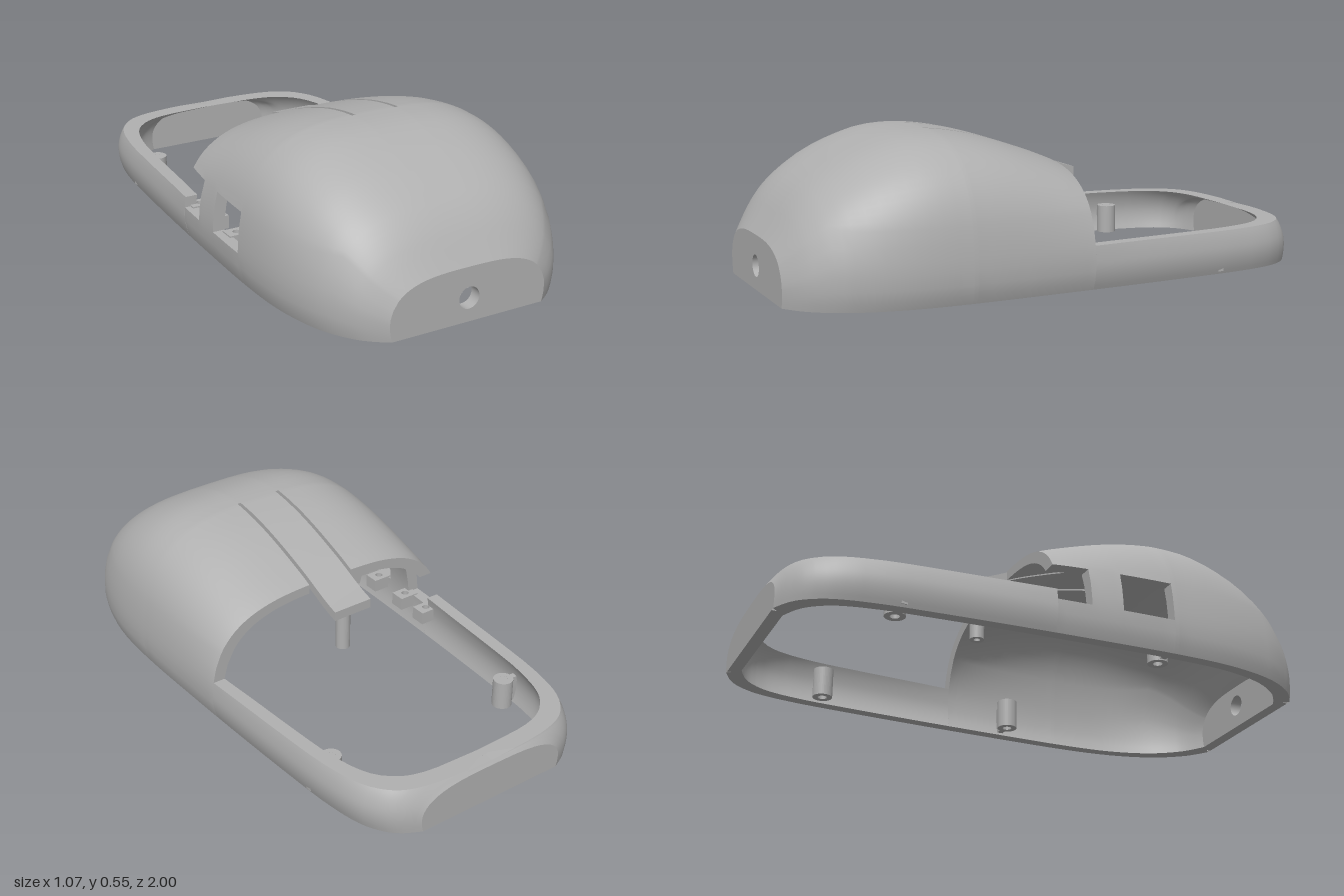
import * as THREE from 'three';

const N = 3.2;            // squareness of the cross-section
const SIDE = 0.045, TOP = 0.036;   // wall thickness
const RIM = 0.16;         // height of the low rear wall
const STEP = -0.07;       // where the hump begins

// smooth interpolation through [z, value] pairs
function curve(pts) {
  const slope = i => {
    const a = pts[Math.max(0, i - 1)], b = pts[Math.min(pts.length - 1, i + 1)];
    return (b[1] - a[1]) / (b[0] - a[0]);
  };
  return z => {
    let i = 0;
    while (i < pts.length - 2 && z > pts[i + 1][0]) i++;
    const [z0, a] = pts[i], [z1, b] = pts[i + 1], d = z1 - z0, t = (z - z0) / d;
    const t2 = t * t, t3 = t2 * t;
    return (2 * t3 - 3 * t2 + 1) * a + (t3 - 2 * t2 + t) * d * slope(i)
      + (3 * t2 - 2 * t3) * b + (t3 - t2) * d * slope(i + 1);
  };
}
const halfWidth = curve([[-1, 0.31], [-0.97, 0.37], [-0.93, 0.415], [-0.85, 0.46], [-0.7, 0.49], [-0.5, 0.505],
  [-0.2, 0.52], [0.1, 0.53], [0.4, 0.535], [0.6, 0.525], [0.75, 0.495], [0.85, 0.455], [0.93, 0.4], [0.97, 0.355], [1, 0.31]]);
const height = curve([[-1, 0.145], [-0.95, 0.21], [-0.9, 0.245], [-0.8, 0.285], [-0.6, 0.325], [-0.4, 0.345], [-0.2, 0.372],
  [0, 0.45], [0.2, 0.515], [0.35, 0.545], [0.45, 0.55], [0.55, 0.538], [0.7, 0.485], [0.8, 0.428], [0.9, 0.345], [1, 0.2]]);

// size of the outer or inner section at z
function sizes(z, inner) {
  let w = halfWidth(z), h = height(z), zz = z;
  if (inner) {
    w -= SIDE;
    h -= TOP;
    const a = Math.abs(z);
    if (a > 0.6) zz = Math.sign(z) * (0.6 + (a - 0.6) * 0.8875);
  }
  return { w, h, z: zz };
}
const xAt = (y, w, h) => w * Math.pow(Math.max(0, 1 - Math.pow(Math.min(1, y / h), N)), 1 / N);
const foot = (x, y) => x * (1 - 0.04 * Math.pow(Math.max(0, 1 - y / 0.1), 2));
const mirrorX = p => new THREE.Vector3(-p.x, p.y, p.z);

// hump section: level lines on the sides, then an arc, then the tongue edges
function humpSection(zIn, inner) {
  const { w, h, z } = sizes(zIn, inner), half = [];
  const s = Math.min(1, h * 0.7 / 0.27);
  const levels = [0, 0.03, 0.07, 0.12, 0.16, 0.215, 0.27].map(y => y * s);
  for (const y of levels) half.push(new THREE.Vector3(foot(xAt(y, w, h), y), y, z));
  const t0 = Math.asin(Math.pow(levels[6] / h, N / 2)), t1 = Math.acos(Math.pow(0.094 / w, N / 2));
  for (let i = 1; i <= 14; i++) {
    const t = t0 + (t1 - t0) * i / 14;
    half.push(new THREE.Vector3(w * Math.pow(Math.cos(t), 2 / N), h * Math.pow(Math.sin(t), 2 / N), z));
  }
  for (const x of [0.08, 0.04]) half.push(new THREE.Vector3(x, h * Math.pow(1 - Math.pow(x / w, N), 1 / N), z));
  return [...half, new THREE.Vector3(0, h, z), ...half.map(mirrorX).reverse()];
}

// low wall section: two halves cut off level at the rim
function wallSection(zIn, inner) {
  const { w, h: h0, z } = sizes(zIn, inner), half = [];
  const h = inner ? Math.max(RIM, h0) : h0;
  const tMax = Math.asin(Math.min(1, Math.pow(Math.min(RIM, h) / h, N / 2)));
  for (let i = 0; i <= 14; i++) {
    const t = tMax * Math.pow(i / 14, 1.4);
    const y = h * Math.pow(Math.sin(t), 2 / N);
    half.push(new THREE.Vector3(foot(w * Math.pow(Math.max(0, Math.cos(t)), 2 / N), y), y, z));
  }
  return [...half, ...half.map(mirrorX).reverse()];
}

function buffer(points, index) {
  const g = new THREE.BufferGeometry().setFromPoints(points);
  if (index) g.setIndex(index);
  g.computeVertexNormals();
  return g;
}

// thick shell from sections; cells refused by keep become openings with walls
function shell(zs, section, keep) {
  const outer = zs.map(z => section(z, false)), inner = zs.map(z => section(z, true));
  const m = outer[0].length, oi = [], ii = [], walls = [];
  const kept = (i, j) => {
    if (i < 0 || j < 0 || i >= zs.length - 1 || j >= m - 1) return false;
    const c = outer[i][j].clone().add(outer[i + 1][j + 1]).multiplyScalar(0.5);
    return keep(c.x, c.y, c.z, j, m);
  };
  for (let i = 0; i < zs.length - 1; i++) for (let j = 0; j < m - 1; j++) {
    if (!kept(i, j)) continue;
    const a = i * m + j, b = a + 1, c = a + m + 1, d = a + m;
    oi.push(a, b, c, a, c, d);
    ii.push(a, c, b, a, d, c);
    const edges = [[i, j, i, j + 1, i - 1, j], [i, j + 1, i + 1, j + 1, i, j + 1],
      [i + 1, j + 1, i + 1, j, i + 1, j], [i + 1, j, i, j, i, j - 1]];
    for (const [pi, pj, qi, qj, ni, nj] of edges) {
      const end = pi === qi && Math.abs(zs[pi]) > 0.999;
      if (end || kept(ni, nj)) continue;
      const p = outer[pi][pj], q = outer[qi][qj], r = inner[qi][qj], s = inner[pi][pj];
      walls.push(p, s, r, p, r, q);
    }
  }
  return [buffer(outer.flat(), oi), buffer(inner.flat(), ii), buffer(walls)];
}

const subdivide = (breaks, n) => breaks.flatMap((b, i) =>
  i === breaks.length - 1 ? [b] : Array.from({ length: n }, (_, k) => b + (breaks[i + 1] - b) * k / n));

// flat end panel filling a section
function panel(section, hole, flip) {
  const shape = new THREE.Shape(section.map(p => new THREE.Vector2(p.x, p.y)));
  if (hole) shape.holes.push(new THREE.Path().absarc(0, 0.087, 0.04, 0, Math.PI * 2, true));
  const g = new THREE.ShapeGeometry(shape, 24);
  if (flip) { // turn the faces to look towards -z
    g.scale(-1, 1, 1);
    g.rotateY(Math.PI);
    g.scale(1, 1, -1);
    g.index.array.reverse();
    g.computeVertexNormals();
  }
  return g.translate(0, 0, section[0].z);
}

// upright extrusion of a shape with a round hole
function pierced(shape, holeRadius, h) {
  shape.holes.push(new THREE.Path().absarc(0, 0, holeRadius, 0, Math.PI * 2, true));
  return new THREE.ExtrudeGeometry(shape, { depth: h, bevelEnabled: false, curveSegments: 20 }).rotateX(-Math.PI / 2);
}
const disc = r => new THREE.Shape().absarc(0, 0, r, 0, Math.PI * 2, false);

export function createModel() {
  const model = new THREE.Group();
  const plastic = new THREE.MeshStandardMaterial({ color: 0xb0b0b0, side: THREE.DoubleSide });
  plastic.name = 'grey plastic';
  const add = (name, geo, x = 0, y = 0, z = 0) => {
    const mesh = new THREE.Mesh(geo, plastic);
    mesh.name = name;
    mesh.position.set(x, y, z);
    model.add(mesh);
  };
  const surfaces = ['Outside', 'Inside', 'Edges'];

  // palm hump with button slots, tongue and two side windows
  const hump = shell(subdivide([-0.21, STEP, 0.06, 0.18, 0.38, 0.4, 0.6, 0.8, 0.92, 1], 4), humpSection, (x, y, z) => {
    const ax = Math.abs(x);
    if (z < STEP) return ax < 0.08;
    if (z < 0.4 && ax > 0.08 && ax < 0.094) return false;
    return !(x < -0.3 && y > 0.12 && y < 0.27 && (z < 0.06 || (z > 0.18 && z < 0.38)));
  });
  hump.forEach((g, i) => add('hump' + surfaces[i], g));

  // low wall around the open rear
  const wall = shell(subdivide([-1, -0.985, -0.95, -0.9, -0.75, -0.4, STEP], 5), wallSection,
    (x, y, z, j, m) => j !== m / 2 - 1);
  wall.forEach((g, i) => add('rearWall' + surfaces[i], g));

  // flat ends, the front one with a cable hole
  add('frontPanelOutside', panel(humpSection(1, false), true, false));
  add('frontPanelInside', panel(humpSection(1, true), true, true));
  add('cableHole', new THREE.CylinderGeometry(0.04, 0.04, 0.045, 32, 1, true).rotateX(Math.PI / 2), 0, 0.087, 0.9775);
  add('rearPanelOutside', panel(wallSection(-1, false), false, true));
  add('rearPanelInside', panel(wallSection(-1, true), false, false));
  for (const s of [1, -1]) add('endSill', new THREE.BoxGeometry(0.56, 0.006, 0.045), 0, 0.003, s * 0.9775);

  // screw bosses joined to the walls by small fins
  for (const [x, z] of [[0.39, -0.61], [-0.39, -0.61], [0.4, 0.15], [-0.4, 0.38]]) {
    const s = Math.sign(x);
    add('screwBoss', pierced(disc(0.037), 0.017, 0.11), x, 0.005, z);
    add('bossTop', new THREE.CylinderGeometry(0.018, 0.018, 0.03, 20), x, 0.0995, z);
    add('bossFin', new THREE.BoxGeometry(0.07, 0.1, 0.022), x + s * 0.06, 0.06, z);
  }

  // post hanging from the tongue
  add('tonguePost', pierced(disc(0.027), 0.012, 0.19), 0, 0.165, -0.15);
  add('postCore', new THREE.CylinderGeometry(0.013, 0.013, 0.14, 16), 0, 0.28, -0.15);

  // pierced brackets beside the side windows
  for (const z of [-0.075, 0.055, 0.225, 0.355]) {
    const plate = new THREE.Shape([[-0.04, -0.03], [0.04, -0.03], [0.04, 0.03], [-0.04, 0.03]].map(p => new THREE.Vector2(...p)));
    add('windowBracket', pierced(plate, 0.014, 0.05), -0.46, 0.075, z);
  }
  return model;
}
